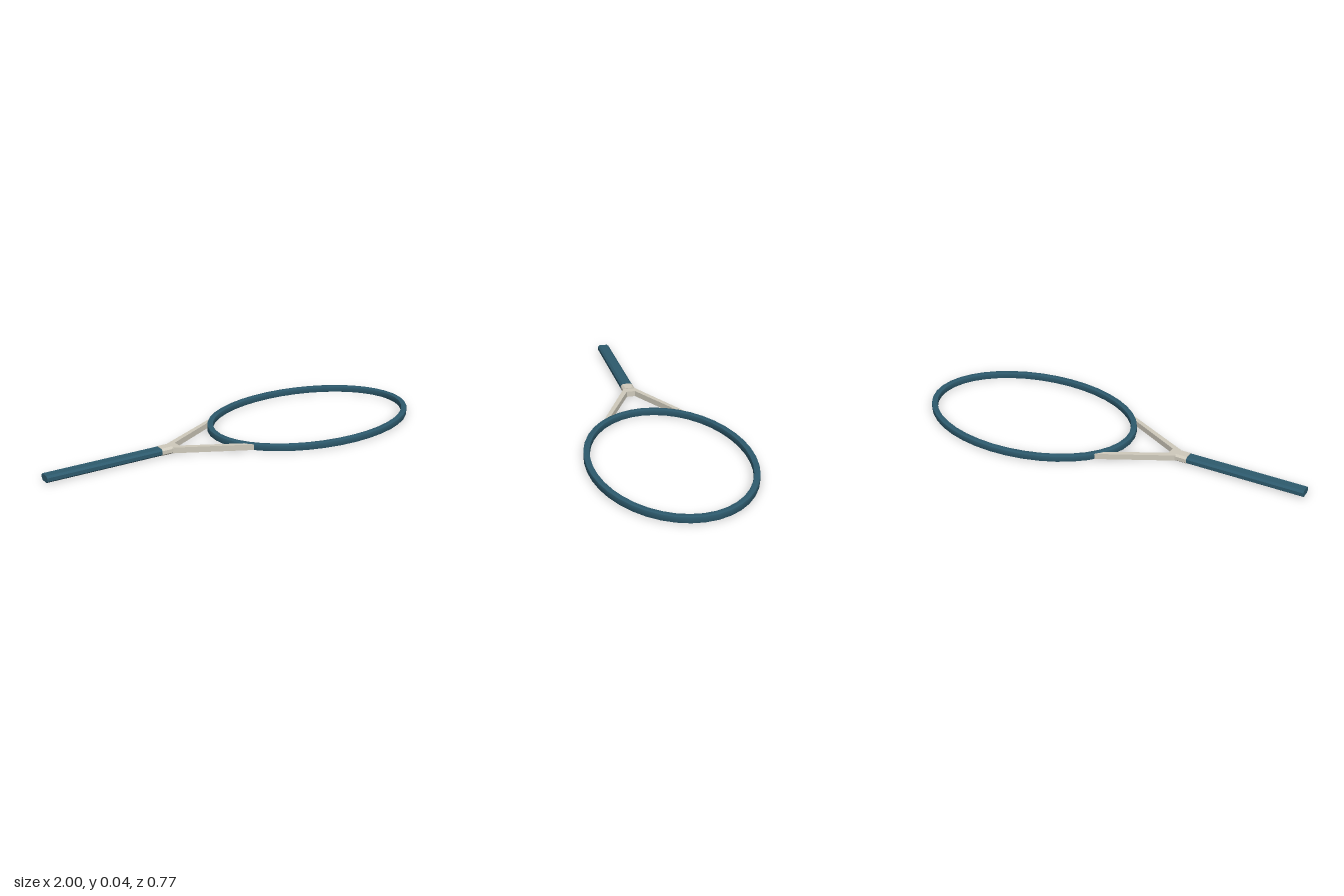
import * as THREE from 'three';
import { toCreasedNormals } from 'three/addons/utils/BufferGeometryUtils.js';

const MID_Y = 0.018;

// Points of an ellipse in plan
function ellipse(rx, rz, n) {
  return Array.from({ length: n }, (_, i) => {
    const a = (i / n) * Math.PI * 2;
    return new THREE.Vector2(0.445 + rx * Math.cos(a), rz * Math.sin(a));
  });
}

// Extrude a plan outline vertically, centred on the racket's mid height
function slab(shape, height, bevel) {
  const g = new THREE.ExtrudeGeometry(shape, {
    depth: height - 2 * bevel, bevelEnabled: bevel > 0,
    bevelSize: bevel, bevelThickness: bevel, bevelSegments: 2,
  });
  g.translate(0, 0, -(height - 2 * bevel) / 2);
  g.rotateX(-Math.PI / 2);
  g.translate(0, MID_Y, 0);
  return toCreasedNormals(g, 0.5);
}

// Flattened octagonal bar along x
function octBar(x0, x1, halfW, halfH) {
  const cz = halfW * 0.34, cy = halfH * 0.5;
  const pts = [
    [halfW, halfH - cy], [halfW - cz, halfH], [cz - halfW, halfH], [-halfW, halfH - cy],
    [-halfW, cy - halfH], [cz - halfW, -halfH], [halfW - cz, -halfH], [halfW, cy - halfH],
  ].map(([a, b]) => new THREE.Vector2(a, b));
  const g = new THREE.ExtrudeGeometry(new THREE.Shape(pts), { depth: x1 - x0, bevelEnabled: false });
  g.rotateY(Math.PI / 2);
  g.translate(x0, MID_Y, 0);
  return g;
}

export function createModel() {
  const blue = new THREE.MeshStandardMaterial({ color: 0x2d5a6d });
  blue.name = 'petrol blue';
  const beige = new THREE.MeshStandardMaterial({ color: 0xcfcabc });
  beige.name = 'warm grey';

  const racket = new THREE.Group();
  racket.name = 'racket';
  const add = (name, geometry, material) => {
    const mesh = new THREE.Mesh(geometry, material);
    mesh.name = name;
    racket.add(mesh);
  };

  // Open oval head
  const bevel = 0.004;
  const oval = new THREE.Shape(ellipse(0.555 - bevel, 0.383 - bevel, 40));
  oval.holes.push(new THREE.Path(ellipse(0.526 + bevel, 0.354 + bevel, 40)));
  add('headFrame', slab(oval, 0.031, bevel), blue);

  // V-shaped throat, mirrored about the long axis
  const half = [[-0.365, 0.029], [0, 0.214], [0.004, 0.194], [-0.325, 0.021]];
  const outline = [...half, ...half.map(([x, z]) => [x, -z]).reverse()];
  const throat = new THREE.Shape(outline.map(([x, z]) => new THREE.Vector2(x, z)));
  add('throat', slab(throat, 0.028, 0), beige);

  // Collar and grip
  add('collar', octBar(-0.42, -0.362, 0.031, 0.018), beige);
  add('grip', octBar(-1, -0.42, 0.03, 0.0165), blue);

  return racket;
}
